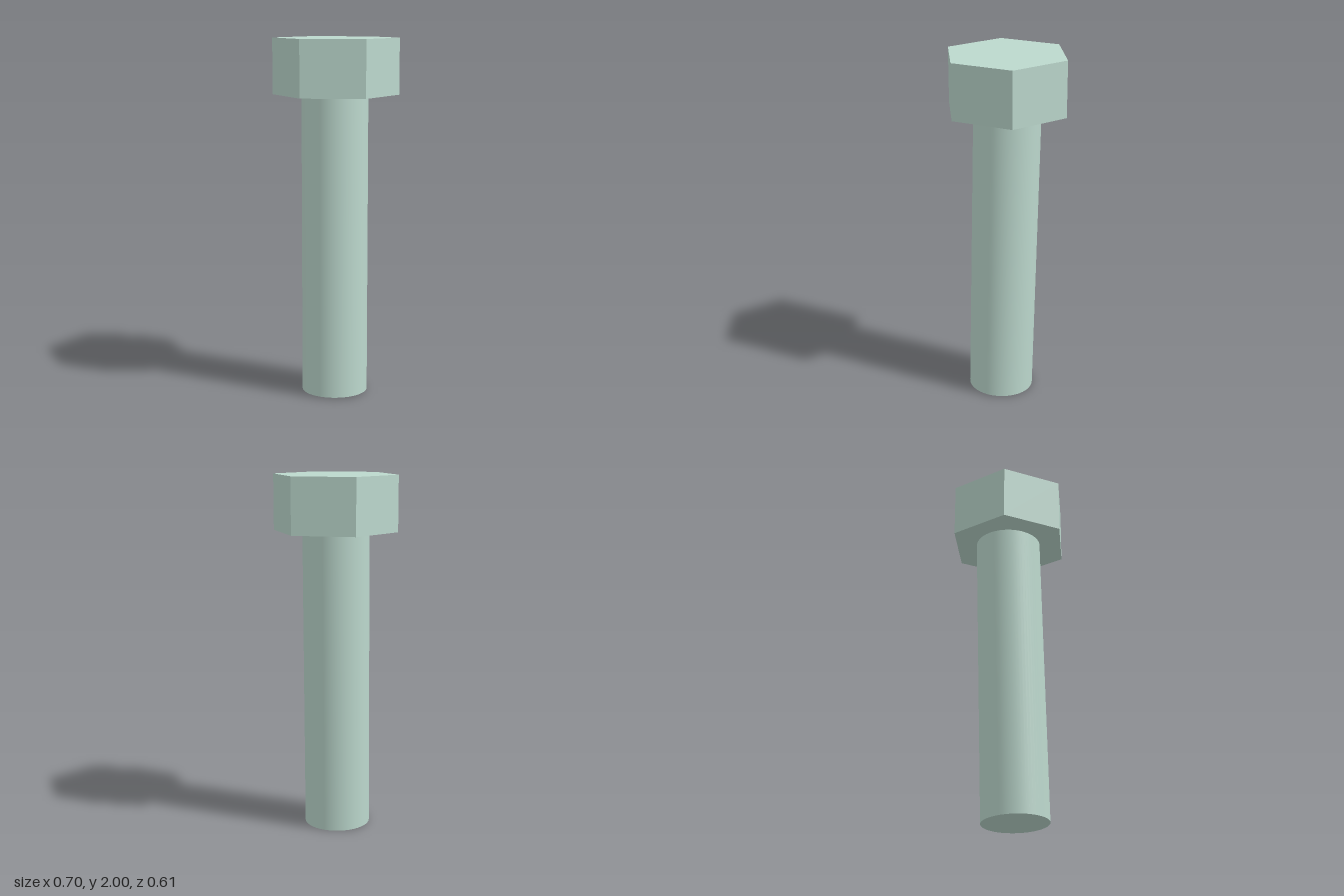
import * as THREE from 'three';

export function createModel() {
  const group = new THREE.Group();
  const color = 0xbcd8cd;

  // Hexagonal head, corners on the x axis
  const headBottom = 1.69, headTop = 2;
  const headGeometry = new THREE.CylinderGeometry(0.35, 0.35, headTop - headBottom, 6);
  headGeometry.rotateY(Math.PI / 2);
  const head = new THREE.Mesh(headGeometry, new THREE.MeshStandardMaterial({ color, flatShading: true }));
  head.name = 'hexHead';
  head.position.y = (headBottom + headTop) / 2;
  group.add(head);

  // Smooth round shank, leaning slightly forward at its foot
  const length = 1.7, tilt = 0.0226;
  const shankGeometry = new THREE.CylinderGeometry(0.185, 0.185, length, 64);
  shankGeometry.translate(0, length / 2, 0);
  const shank = new THREE.Mesh(shankGeometry, new THREE.MeshStandardMaterial({ color }));
  shank.name = 'shank';
  shank.rotation.x = -tilt;
  shank.position.set(-0.005, 0.185 * Math.sin(tilt), 0.033);
  group.add(shank);

  return group;
}
